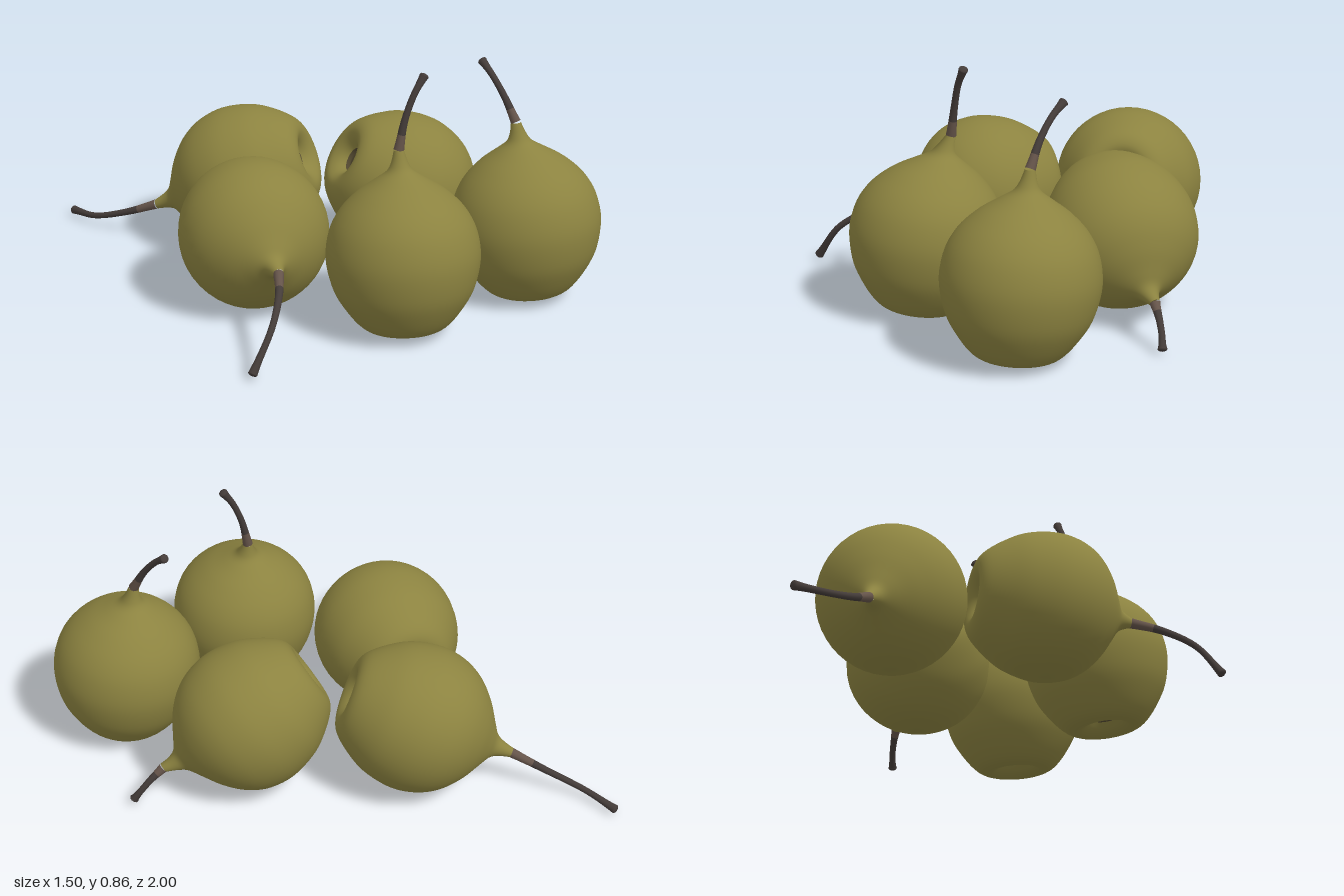
import * as THREE from 'three';

const material = (name, color) => Object.assign(new THREE.MeshStandardMaterial({ color }), { name });
const V = (p) => new THREE.Vector3(...p);

// Half cross-section of a pear: radius, height from the centre
const BODY = [
  [0.045, -0.212], [0.07, -0.24], [0.105, -0.254], [0.15, -0.235], [0.2, -0.175], [0.24, -0.1],
  [0.259, 0], [0.245, 0.09], [0.208, 0.16], [0.15, 0.218], [0.085, 0.262],
  [0.045, 0.29], [0.028, 0.32], [0.017, 0.36],
];
const CALYX = [[0, -0.197], [0.02, -0.204], [0.034, -0.2], [0.045, -0.212]];
const TIP = 0.36;

// centre, axis from calyx to neck, and stem path starting at the neck tip
const PEARS = [
  { name: 'frontLeftPear', centre: [-0.13, 0.258, 0.565], axis: [0.07, 1, -0.1],
    stem: [[-0.07, 0.6, 0.5], [-0.05, 0.7, 0.508], [-0.022, 0.785, 0.524], [0.012, 0.845, 0.54]] },
  { name: 'frontRightPear', centre: [0.372, 0.258, 0.74], axis: [0, 1, -0.1],
    stem: [[0.372, 0.61, 0.685], [0.374, 0.69, 0.636], [0.382, 0.755, 0.58], [0.394, 0.795, 0.53]] },
  { name: 'rightPear', centre: [0.405, 0.265, 0.2], axis: [0.23, -0.17, 0.18],
    stem: [[0.66, 0.13, 0.395], [0.695, 0.09, 0.425], [0.72, 0.05, 0.45], [0.736, 0.014, 0.472]] },
  { name: 'backPear', centre: [0.127, 0.265, -0.3], axis: [-0.14, -0.13, -0.3],
    stem: [[-0.02, 0.125, -0.6], [-0.05, 0.075, -0.72], [-0.07, 0.032, -0.86], [-0.046, 0.016, -0.99]] },
  { name: 'leftPear', centre: [-0.265, 0.255, 0.04], axis: [-0.2, -0.02, 0.25],
    stem: [[-0.455, 0.233, 0.29], [-0.54, 0.205, 0.355], [-0.64, 0.14, 0.402], [-0.74, 0.014, 0.4]] },
];

function lathe(profile, divisions) {
  const curve = new THREE.SplineCurve(profile.map(([r, y]) => new THREE.Vector2(r, y)));
  return new THREE.LatheGeometry(curve.getPoints(divisions), 48);
}

// Stands the shape along its axis and draws the neck across to meet the stem
function place(geometry, pear) {
  const centre = V(pear.centre);
  const axis = V(pear.axis).normalize();
  const turn = new THREE.Quaternion().setFromUnitVectors(new THREE.Vector3(0, 1, 0), axis);
  const lean = V(pear.stem[0]).sub(centre).addScaledVector(axis, -TIP);
  const pos = geometry.attributes.position;
  const p = new THREE.Vector3();
  for (let i = 0; i < pos.count; i++) {
    p.fromBufferAttribute(pos, i);
    const pull = Math.pow(Math.max(0, p.y / TIP), 3);
    p.applyQuaternion(turn).add(centre).addScaledVector(lean, pull);
    pos.setXYZ(i, p.x, p.y, p.z);
  }
  // Rotate the smooth lathe normals along with the shape
  const normals = geometry.attributes.normal;
  for (let i = 0; i < normals.count; i++) {
    p.fromBufferAttribute(normals, i).applyQuaternion(turn);
    normals.setXYZ(i, p.x, p.y, p.z);
  }
  return geometry;
}

// Tube that narrows above the neck and swells at its cut end
function stemGeometry(curve) {
  const rings = 30, sides = 12;
  const g = new THREE.TubeGeometry(curve, rings, 1, sides);
  const pos = g.attributes.position;
  const p = new THREE.Vector3();
  for (let i = 0; i <= rings; i++) {
    const t = i / rings;
    const c = curve.getPointAt(t);
    const radius = 0.011 + 0.007 * Math.pow(1 - t, 4) + 0.005 * Math.pow(t, 10);
    for (let j = 0; j <= sides; j++) {
      const k = i * (sides + 1) + j;
      p.fromBufferAttribute(pos, k).sub(c).multiplyScalar(radius).add(c);
      pos.setXYZ(k, p.x, p.y, p.z);
    }
  }
  const split = 6 * sides * 6;
  g.addGroup(0, split, 0);
  g.addGroup(split, g.index.count - split, 1);
  return g;
}

export function createModel() {
  const skin = material('oliveSkin', 0x8c8340);
  const stemBrown = material('stemBrown', 0x65544a);
  const stemDark = material('stemDark', 0x443c39);
  const calyxBrown = material('calyxBrown', 0x51472f);
  calyxBrown.side = THREE.DoubleSide;

  const model = new THREE.Group();
  model.name = 'pears';
  for (const pear of PEARS) {
    const group = new THREE.Group();
    group.name = pear.name;
    const add = (name, geometry, mat) => {
      const mesh = new THREE.Mesh(geometry, mat);
      mesh.name = name;
      group.add(mesh);
      return mesh;
    };
    add('body', place(lathe(BODY, 56), pear), skin);
    add('calyx', place(lathe(CALYX, 8), pear), calyxBrown);

    // Stem with a rounded cut end, rooted slightly inside the neck
    const points = pear.stem.map(V);
    const curve = new THREE.CatmullRomCurve3(points);
    add('stem', stemGeometry(curve), [stemBrown, stemDark]);
    const cap = add('stemEnd', new THREE.SphereGeometry(0.016, 14, 10), stemDark);
    cap.scale.y = 0.5;
    cap.quaternion.setFromUnitVectors(new THREE.Vector3(0, 1, 0), curve.getTangentAt(1));
    cap.position.copy(points[points.length - 1]);
    model.add(group);
  }
  return model;
}
